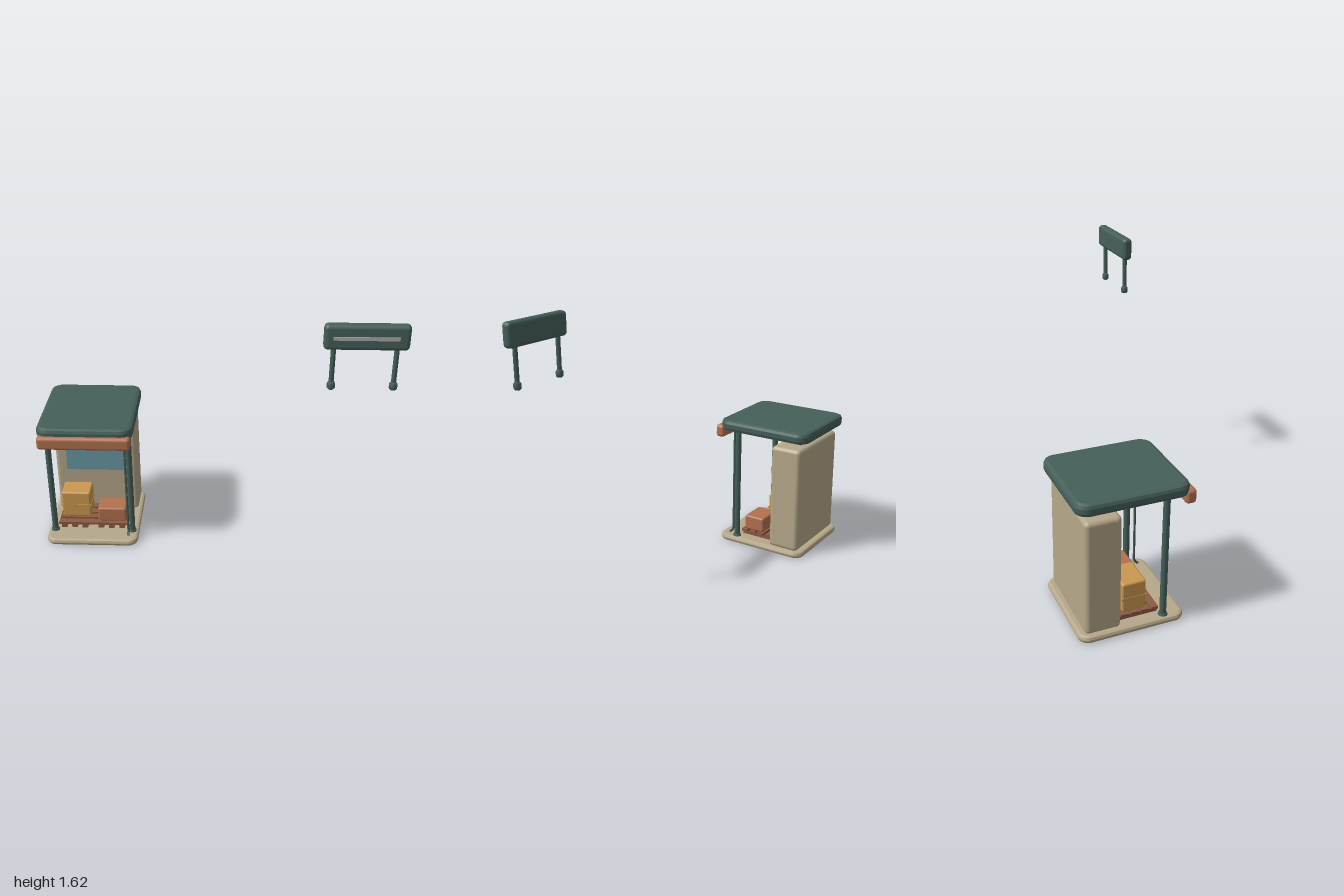
import * as THREE from 'three';
import { RoundedBoxGeometry } from 'three/addons/geometries/RoundedBoxGeometry.js';

const paint = (name, color) => {
  const m = new THREE.MeshStandardMaterial({ color });
  m.name = name;
  return m;
};

export function createModel() {
  const green = paint('dark green', 0x455f58);
  const tan = paint('warm tan', 0xb5a789);
  const clay = paint('clay', 0xb2714f);
  const ochre = paint('ochre', 0xcb984f);
  const wood = paint('pallet wood', 0x8d5a43);
  const glass = paint('blue glass', 0x6b98a5);
  const grey = paint('light grey', 0xaaa8a5);

  const model = new THREE.Group();
  model.name = 'kioskAndSign';
  const kiosk = new THREE.Group();
  kiosk.name = 'kiosk';
  const sign = new THREE.Group();
  sign.name = 'hangingSign';
  model.add(kiosk, sign);

  const add = (parent, name, geometry, material, x = 0, y = 0, z = 0) => {
    const mesh = new THREE.Mesh(geometry, material);
    mesh.name = name;
    mesh.position.set(x, y, z);
    parent.add(mesh);
    return mesh;
  };

  // Box given by its limits, rounded when r > 0
  const block = (parent, name, material, [x0, x1], [y0, y1], [z0, z1], r = 0) => {
    const w = x1 - x0, h = y1 - y0, d = z1 - z0;
    const geometry = r ? new RoundedBoxGeometry(w, h, d, 2, r) : new THREE.BoxGeometry(w, h, d);
    return add(parent, name, geometry, material, (x0 + x1) / 2, (y0 + y1) / 2, (z0 + z1) / 2);
  };

  // Horizontal slab with rounded corners in plan and bevelled rims
  const slab = (name, material, w, d, y0, y1, z, radius, bevel) => {
    const a = w / 2 - bevel, b = d / 2 - bevel, r = radius - bevel;
    const s = new THREE.Shape();
    s.moveTo(-a + r, -b);
    s.absarc(a - r, -b + r, r, -Math.PI / 2, 0);
    s.absarc(a - r, b - r, r, 0, Math.PI / 2);
    s.absarc(-a + r, b - r, r, Math.PI / 2, Math.PI);
    s.absarc(-a + r, -b + r, r, Math.PI, Math.PI * 1.5);
    const geometry = new THREE.ExtrudeGeometry(s, {
      depth: y1 - y0 - 2 * bevel, bevelEnabled: true, bevelSize: bevel,
      bevelThickness: bevel, bevelSegments: 2, curveSegments: 6,
    });
    geometry.rotateX(-Math.PI / 2);
    return add(kiosk, name, geometry, material, cx, y0 + bevel, z);
  };

  const cx = -0.72;

  // Floor, back cabinet and roof
  slab('floorSlab', tan, 0.56, 0.59, 0, 0.04, -0.18, 0.06, 0.017);
  slab('roof', green, 0.56, 0.61, 0.745, 0.815, -0.18, 0.07, 0.022);
  block(kiosk, 'ceilingPanel', green, [cx - 0.24, cx + 0.24], [0.738, 0.75], [-0.44, 0.08]);
  block(kiosk, 'backCabinet', tan, [cx - 0.255, cx + 0.255], [0.035, 0.70], [-0.44, -0.243], 0.025);
  block(kiosk, 'frontFascia', clay, [-0.99, -0.45], [0.695, 0.775], [0.09, 0.15], 0.02);
  block(kiosk, 'windowPanel', glass, [-0.905, -0.535], [0.335, 0.505], [-0.243, -0.234]);

  // Ceiling lamps, posts and their feet
  for (const side of [-1, 1]) {
    add(kiosk, 'ceilingLamp', new THREE.CylinderGeometry(0.032, 0.032, 0.01, 20), grey,
      cx + side * 0.12, 0.735, -0.035);
    const x = cx + side * 0.24;
    add(kiosk, 'post', new THREE.CylinderGeometry(0.018, 0.018, 0.71, 16), green, x, 0.395, -0.003);
    add(kiosk, 'postFoot', new THREE.CylinderGeometry(0.022, 0.026, 0.012, 16), green, x, 0.046, -0.003);
  }

  // Drain pipe in front of the left post, kicking out at the floor
  const pipe = new THREE.CurvePath();
  const bend = [[0.75, 0.037], [0.075, 0.037], [0.058, 0.044], [0.043, 0.062]]
    .map(([y, z]) => new THREE.Vector3(-0.5, y, z));
  for (let i = 1; i < bend.length; i++) pipe.add(new THREE.LineCurve3(bend[i - 1], bend[i]));
  add(kiosk, 'drainPipe', new THREE.TubeGeometry(pipe, 48, 0.007, 8), green);

  // Pallet: slats running sideways over two sets of runners
  const pallet = new THREE.Group();
  pallet.name = 'pallet';
  kiosk.add(pallet);
  for (let i = 0; i < 4; i++) {
    const z = -0.06 - i * 0.058;
    block(pallet, 'palletSlat', wood, [-0.94, -0.51], [0.064, 0.08], [z, z + 0.04]);
  }
  for (const start of [-0.925, -0.695]) {
    for (let i = 0; i < 3; i++) {
      const x = start + i * 0.065;
      block(pallet, 'palletRunner', wood, [x, x + 0.034], [0.04, 0.064], [-0.236, -0.022]);
    }
  }

  // Parcels
  block(kiosk, 'tallParcel', ochre, [-0.925, -0.745], [0.08, 0.255], [-0.22, -0.085], 0.012);
  block(kiosk, 'parcelBand', ochre, [-0.927, -0.743], [0.155, 0.168], [-0.222, -0.083]);
  block(kiosk, 'lowParcel', clay, [-0.695, -0.52], [0.08, 0.175], [-0.17, -0.037], 0.012);

  // Sign board with its strip and two legs
  block(sign, 'signBoard', green, [0.575, 1.0], [1.488, 1.622], [0.42, 0.478], 0.022);
  block(sign, 'signStrip', grey, [0.62, 0.945], [1.546, 1.564], [0.476, 0.484]);
  for (const x of [0.627, 0.94]) {
    add(sign, 'signLeg', new THREE.CylinderGeometry(0.013, 0.013, 0.22, 14), green, x, 1.39, 0.45);
    const profile = [[0, 0], [0.014, 0], [0.021, 0.008], [0.021, 0.032], [0.014, 0.042], [0, 0.042]]
      .map(([r, y]) => new THREE.Vector2(r, y));
    add(sign, 'signLegTip', new THREE.LatheGeometry(profile, 14), green, x, 1.268, 0.45);
  }
  return model;
}
